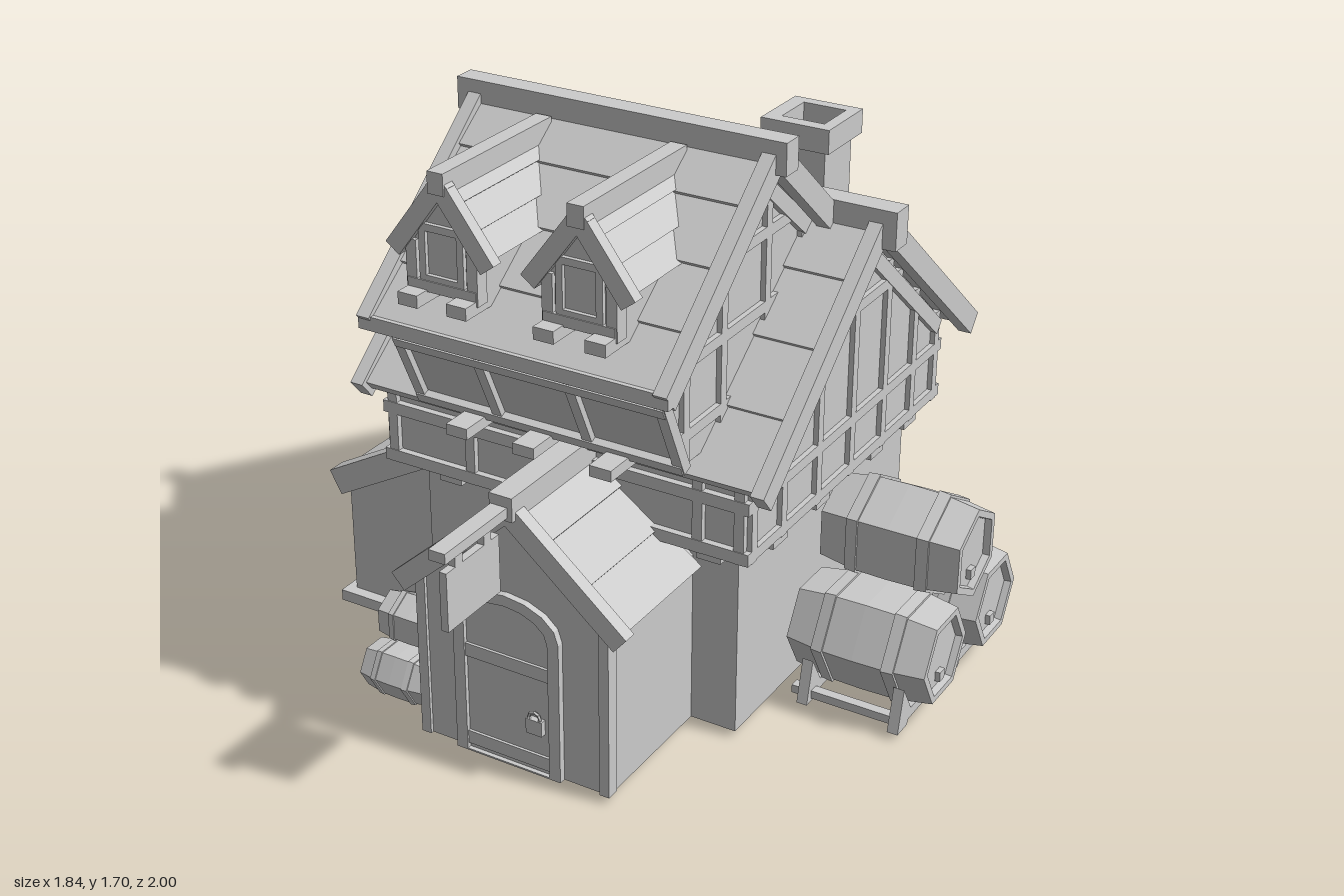
import * as THREE from 'three';

const mat = new THREE.MeshStandardMaterial({ color: 0xcccccc, flatShading: true });

function add(parent, name, geo) {
  const m = new THREE.Mesh(geo, mat);
  m.name = name;
  parent.add(m);
  return m;
}
// Box from its min and max along each axis
function box(parent, name, x0, x1, y0, y1, z0, z1) {
  const g = new THREE.BoxGeometry(x1 - x0, y1 - y0, z1 - z0);
  g.translate((x0 + x1) / 2, (y0 + y1) / 2, (z0 + z1) / 2);
  return add(parent, name, g);
}
// Outline drawn in (x,y) or (z,y), extruded from lo to hi along the other axis
function prism(parent, name, axis, pts, lo, hi, hole) {
  const s = new THREE.Shape(pts.map(p => new THREE.Vector2(p[0], p[1])));
  if (hole) s.holes.push(new THREE.Path(hole.map(p => new THREE.Vector2(p[0], p[1]))));
  const g = new THREE.ExtrudeGeometry(s, { depth: hi - lo, bevelEnabled: false });
  if (axis === 'x') g.rotateY(-Math.PI / 2).translate(hi, 0, 0);
  else g.translate(0, 0, lo);
  return add(parent, name, g);
}
// Point at distance u along p->q and v above that line
function frame(p, q) {
  const L = Math.hypot(q[0] - p[0], q[1] - p[1]);
  const d = [(q[0] - p[0]) / L, (q[1] - p[1]) / L], s = d[0] < 0 ? -1 : 1;
  return { L, at: (u, v) => [p[0] + d[0] * u - d[1] * s * v, p[1] + d[1] * u + d[0] * s * v] };
}
function strip(parent, name, axis, p, q, v0, v1, lo, hi) {
  const { L, at } = frame(p, q);
  return prism(parent, name, axis, [at(0, v0), at(L, v0), at(L, v1), at(0, v1)], lo, hi);
}
// Roof slope made of n overlapping plank courses
function slope(parent, axis, ridge, eave, n, lo, hi, t = 0.035) {
  const { L, at } = frame(ridge, eave), pts = [at(0, -t)];
  for (let i = 0; i < n; i++) pts.push(at(L * i / n, -0.012), at(L * (i + 1) / n, 0));
  pts.push(at(L, -t));
  prism(parent, 'roofPlanks', axis, pts, lo, hi);
}
// Upright frame with an opening, standing on a wall facing z
function windowFrame(parent, cx, w, y0, y1, t, z0, z1) {
  prism(parent, 'windowFrame', 'z', [[cx - w, y0], [cx + w, y0], [cx + w, y1], [cx - w, y1]], z0, z1,
    [[cx - w + t, y0 + t], [cx + w - t, y0 + t], [cx + w - t, y1 - t], [cx - w + t, y1 - t]]);
}

// Gabled bay facing +z, centred on x = 0
function bay(name, o) {
  const g = new THREE.Group();
  g.name = name;
  const k = (o.ridge - o.eave) / o.roofW, top = o.ridge - 0.04;
  prism(g, 'bayWall', 'z', [[-o.w, o.y0], [o.w, o.y0], [o.w, top - k * o.w], [0, top], [-o.w, top - k * o.w]], o.z0, o.z1);
  for (const s of [-1, 1]) {
    slope(g, 'z', [0, o.ridge], [s * o.roofW, o.eave], 3, o.back, o.z1 + 0.01, 0.025);
    strip(g, 'bargeBoard', 'z', [0, o.ridge + 0.005], [s * (o.roofW + 0.012), o.eave - 0.01], -0.04, 0.01, o.z1 - 0.015, o.z1 + 0.02);
    const x = s * (o.w - 0.012);
    box(g, 'cornerPost', x - 0.016, x + 0.016, o.y0 - 0.01, top - k * o.w, o.z1 - 0.03, o.z1 + 0.012);
    box(g, 'bracket', s * o.bx - 0.03, s * o.bx + 0.03, o.y0 - 0.03, o.y0 + 0.005, o.z0, o.z1 + o.reach);
  }
  box(g, 'ridgeBeam', -o.rw, o.rw, o.ridge - 0.04, o.ridge + 0.02, o.back, o.z1 + 0.025);
  box(g, 'sillBeam', -o.w, o.w, o.y0, o.y0 + 0.03, o.z1 - 0.02, o.z1 + 0.015);
  windowFrame(g, 0, o.win[0], o.win[1], o.win[2], 0.02, o.z1 - 0.01, o.z1 + 0.012);
  return g;
}

// Three six-sided barrels stacked with axes along x
function barrelStack(withStand) {
  const g = new THREE.Group();
  g.name = 'barrelStack';
  const half = [[0.158, 0], [0.156, 0.09], [0.164, 0.09], [0.16, 0.125], [0.152, 0.125], [0.138, 0.21], [0.116, 0.21], [0.112, 0.19], [0, 0.19]];
  const pts = [...half.slice(1).reverse().map(p => [p[0], -p[1]]), ...half].map(p => new THREE.Vector2(p[0], p[1]));
  for (const [z, y, turn] of [[0.172, 0.21, 0], [-0.172, 0.21, 0], [0, 0.45, Math.PI / 6]]) {
    const geo = new THREE.LatheGeometry(pts, 6);
    geo.rotateZ(Math.PI / 2).rotateX(turn).translate(0, y, z);
    add(g, 'barrel', geo);
    box(g, 'bung', 0.185, 0.205, y - 0.08, y - 0.05, z - 0.015, z + 0.015);
    if (!withStand || turn) continue;
    for (const x of [-0.145, 0.135]) {
      box(g, 'standRail', x - 0.016, x + 0.016, 0.035, 0.065, z - 0.14, z + 0.14);
      for (const s of [-1, 1])
        prism(g, 'standLeg', 'x', [[z + s * 0.16, 0.02], [z + s * 0.13, 0.15], [z + s * 0.075, 0.06], [z + s * 0.1, 0.02]], x - 0.016, x + 0.016);
    }
    for (const s of [-1, 1]) box(g, 'standRunner', -0.19, 0.15, 0.03, 0.055, z + s * 0.12 - 0.015, z + s * 0.12 + 0.015);
  }
  return g;
}

// Timbers on both gable ends: posts and rails cut under a roof line
function gableTimbers(g, x0, x1, posts, rails, base, roofY) {
  for (const [lo, hi] of [[x0 - 0.015, x0 + 0.01], [x1 - 0.01, x1 + 0.015]]) {
    for (const z of posts) box(g, 'timberPost', lo, hi, base(z), roofY(z), z - 0.015, z + 0.015);
    for (const [y, z0, z1] of rails) box(g, 'timberRail', lo, hi, y - 0.016, y + 0.016, z0, z1);
  }
}

export function createModel() {
  const root = new THREE.Group();
  root.name = 'timberHouse';
  const part = n => { const g = new THREE.Group(); g.name = n; root.add(g); return g; };

  // Ground floor and jettied upper floor
  const main = part('mainHouse');
  box(main, 'groundFloor', -0.54, 0.47, 0.02, 0.62, -0.75, 0.26);
  const under = z => 1.36 - 0.85 * Math.abs(z + 0.25);
  prism(main, 'upperFloor', 'x', [[0.33, 0.61], [0.33, under(0.33)], [-0.25, 1.36], [-0.81, under(-0.81)], [-0.81, 0.61]], -0.605, 0.53);
  gableTimbers(main, -0.605, 0.53, [0.315, 0.15, -0.05, -0.25, -0.45, -0.64, -0.795],
    [[0.63, -0.81, 0.33], [0.78, -0.81, 0.33], [1.12, -0.53, 0.03]], () => 0.61, under);
  for (const z of [0.335, -0.815]) {
    for (const y of [0.63, 0.78]) box(main, 'wallRail', -0.62, 0.545, y - 0.018, y + 0.018, z - 0.015, z + 0.015);
    for (const x of [-0.59, -0.33, 0.39, 0.515]) box(main, 'wallPost', x - 0.015, x + 0.015, 0.61, 0.87, z - 0.013, z + 0.013);
  }
  for (const z of [0.14, -0.11, -0.45, -0.67]) box(main, 'joistEnd', -0.6, 0.53, 0.575, 0.612, z - 0.04, z + 0.04);
  for (const x of [-0.42, 0.41]) box(main, 'joistEnd', x - 0.037, x + 0.037, 0.575, 0.612, -0.8, 0.32);

  // Main roof
  const roof = part('mainRoof');
  for (const e of [0.395, -0.895]) {
    slope(roof, 'x', [-0.25, 1.405], [e, 0.865], 4, -0.66, 0.6);
    for (const x of [-0.68, 0.58]) strip(roof, 'bargeBoard', 'x', [-0.25, 1.405], [e + Math.sign(e) * 0.012, 0.855], -0.055, 0.012, x, x + 0.04);
    for (const x of [-0.6, 0.53]) strip(roof, 'gableRafter', 'x', [-0.25, 1.34], [e > 0 ? 0.32 : -0.82, 0.86], -0.045, 0, x - 0.017, x + 0.017);
  }
  box(roof, 'ridgeBeam', -0.71, 0.66, 1.32, 1.43, -0.285, -0.215);

  // Attic storey leaning out over the front
  const attic = part('attic');
  const au = z => 1.62 - 0.85 * Math.abs(z - 0.09);
  const lo = [0.44, 0.905], hi = [0.575, 1.2];
  prism(attic, 'atticWall', 'x', [lo, hi, [0.575, au(0.575)], [0.09, 1.62], [-0.25, au(-0.25)], [-0.25, 0.905]], -0.395, 0.395);
  gableTimbers(attic, -0.395, 0.395, [0.44, 0.25, 0.02, -0.18], [[1.41, -0.14, 0.32], [1.2, -0.2, 0.57], [1.0, 0.2, 0.47]],
    z => Math.max(0.92, under(z) - 0.05), au);
  for (const x of [-0.4, -0.15, 0.13, 0.4]) strip(attic, 'frontMullion', 'x', lo, hi, -0.018, 0.015, x - 0.015, x + 0.015);
  const f = frame(lo, hi);
  for (const u of [0, 0.22, f.L - 0.03])
    prism(attic, 'frontRail', 'x', [f.at(u, -0.022), f.at(u + 0.03, -0.022), f.at(u + 0.03, 0.01), f.at(u, 0.01)], -0.412, 0.412);
  for (const x of [-0.225, -0.015, 0.22]) box(attic, 'joistEnd', x - 0.033, x + 0.033, 0.875, 0.907, 0.25, 0.55);
  for (const e of [[0.645, 1.205], [-0.24, 1.39]]) {
    slope(attic, 'x', [0.09, 1.675], e, e[0] > 0 ? 4 : 2, -0.44, 0.46);
    for (const x of [-0.455, 0.435]) strip(attic, 'bargeBoard', 'x', [0.09, 1.675], e, -0.055, 0.012, x, x + 0.04);
    for (const x of [-0.4, 0.4]) strip(attic, 'gableRafter', 'x', [0.09, 1.61], [e[0] > 0 ? 0.57 : -0.24, au(e[0] > 0 ? 0.57 : -0.24)], -0.045, 0, x - 0.015, x + 0.015);
  }
  box(attic, 'ridgeBeam', -0.49, 0.505, 1.61, 1.7, 0.058, 0.122);
  box(attic, 'eaveBeam', -0.455, 0.475, 1.175, 1.215, 0.61, 0.645);

  // Two roof dormers and the tall bay at the back
  for (const x of [-0.21, 0.2]) {
    const d = bay('roofDormer', { w: 0.105, y0: 1.31, ridge: 1.625, eave: 1.43, roofW: 0.145, z0: 0.3, z1: 0.595, back: 0.13,
      rw: 0.024, bx: 0.075, reach: 0.06, win: [0.068, 1.335, 1.495] });
    d.position.x = x;
    root.add(d);
  }
  const back = bay('backBay', { w: 0.15, y0: 0.38, ridge: 1.16, eave: 0.87, roofW: 0.22, z0: 0.74, z1: 0.92, back: 0.56,
    rw: 0.03, bx: 0.105, reach: 0.08, win: [0.1, 0.46, 0.93] });
  back.rotation.y = Math.PI;
  back.position.x = -0.06;
  for (const s of [-1, 1]) for (const y of [0.53, 0.78])
    box(back, 'sideRail', s * 0.15 - 0.012, s * 0.15 + 0.012, y - 0.015, y + 0.015, 0.75, 0.92);
  box(back, 'crossRail', -0.15, 0.15, 0.93, 0.96, 0.9, 0.935);
  root.add(back);

  // Chimney with a hollow cap
  const chimney = part('chimney');
  box(chimney, 'chimneyShaft', 0.185, 0.35, 0.95, 1.49, -0.565, -0.405);
  for (const [x0, x1, z0, z1] of [[0.16, 0.205, -0.59, -0.385], [0.335, 0.37, -0.59, -0.385], [0.205, 0.335, -0.59, -0.555], [0.205, 0.335, -0.425, -0.385]])
    box(chimney, 'chimneyCap', x0, x1, 1.48, 1.55, z0, z1);

  // Entrance porch
  const porch = part('porch');
  prism(porch, 'porchWall', 'z', [[-0.27, 0.02], [0.33, 0.02], [0.33, 0.54], [0.035, 0.79], [-0.27, 0.53]], 0.2, 0.69);
  for (const x of [-0.27, 0.305]) box(porch, 'cornerPost', x, x + 0.03, 0.02, 0.53, 0.66, 0.7);
  for (const e of [[-0.32, 0.515], [0.38, 0.54]]) {
    slope(porch, 'z', [0.035, 0.83], e, 3, 0.3, 0.69);
    strip(porch, 'bargeBoard', 'z', [0.035, 0.83], [e[0] * 1.03, e[1] - 0.01], -0.05, 0.01, 0.675, 0.715);
  }
  box(porch, 'ridgeBeam', 0, 0.07, 0.79, 0.86, 0.3, 0.73);
  const arch = (w, spring, rise, y0) => {
    const p = [[-w + 0.022, y0], [w + 0.022, y0]];
    for (let i = 0; i <= 8; i++) p.push([0.022 + w * Math.cos(Math.PI * i / 8), spring + rise * Math.sin(Math.PI * i / 8)]);
    return p;
  };
  prism(porch, 'doorFrame', 'z', arch(0.167, 0.45, 0.1, 0.02), 0.68, 0.71, arch(0.132, 0.44, 0.078, 0.025));
  prism(porch, 'door', 'z', arch(0.134, 0.44, 0.08, 0.022), 0.68, 0.697);
  for (const y of [0.06, 0.34]) box(porch, 'doorBoard', -0.11, 0.154, y - 0.02, y + 0.02, 0.69, 0.705);
  box(porch, 'doorLock', 0.085, 0.135, 0.15, 0.195, 0.69, 0.715);
  const ring = add(porch, 'doorRing', new THREE.TorusGeometry(0.018, 0.005, 5, 8));
  ring.position.set(0.11, 0.2, 0.71);

  // Hanging board
  const sign = part('hangingBoard');
  box(sign, 'signBeam', 0.005, 0.055, 0.8, 0.83, 0.7, 1);
  box(sign, 'signBoard', 0.02, 0.042, 0.59, 0.76, 0.75, 0.98);
  for (const z of [0.8, 0.925]) box(sign, 'signHanger', 0.02, 0.042, 0.75, 0.81, z - 0.016, z + 0.016);

  // Lean-to shed, open underneath
  const shed = part('leanTo');
  for (const z of [-0.7, 0.18])
    prism(shed, 'shedWall', 'z', [[-0.87, 0.02], [-0.53, 0.02], [-0.53, 0.61], [-0.87, 0.42]], z, z + 0.03);
  box(shed, 'shedSideWall', -0.87, -0.84, 0.02, 0.42, -0.7, 0.21);
  box(shed, 'shedBase', -0.9, -0.84, 0, 0.035, -0.735, 0.245);
  for (const z of [-0.735, 0.185]) box(shed, 'shedBase', -0.84, -0.5, 0, 0.035, z, z + 0.06);
  slope(shed, 'z', [-0.535, 0.635], [-0.905, 0.43], 4, -0.71, 0.22);
  for (const z of [-0.735, 0.18]) strip(shed, 'bargeBoard', 'z', [-0.535, 0.64], [-0.915, 0.43], -0.07, 0.01, z, z + 0.06);

  // Barrel stacks
  const big = barrelStack(true);
  big.position.set(0.71, 0, -0.285);
  const small = barrelStack(false);
  small.scale.setScalar(0.5);
  small.position.set(-0.405, 0, 0.505);
  root.add(big, small);
  return root;
}
